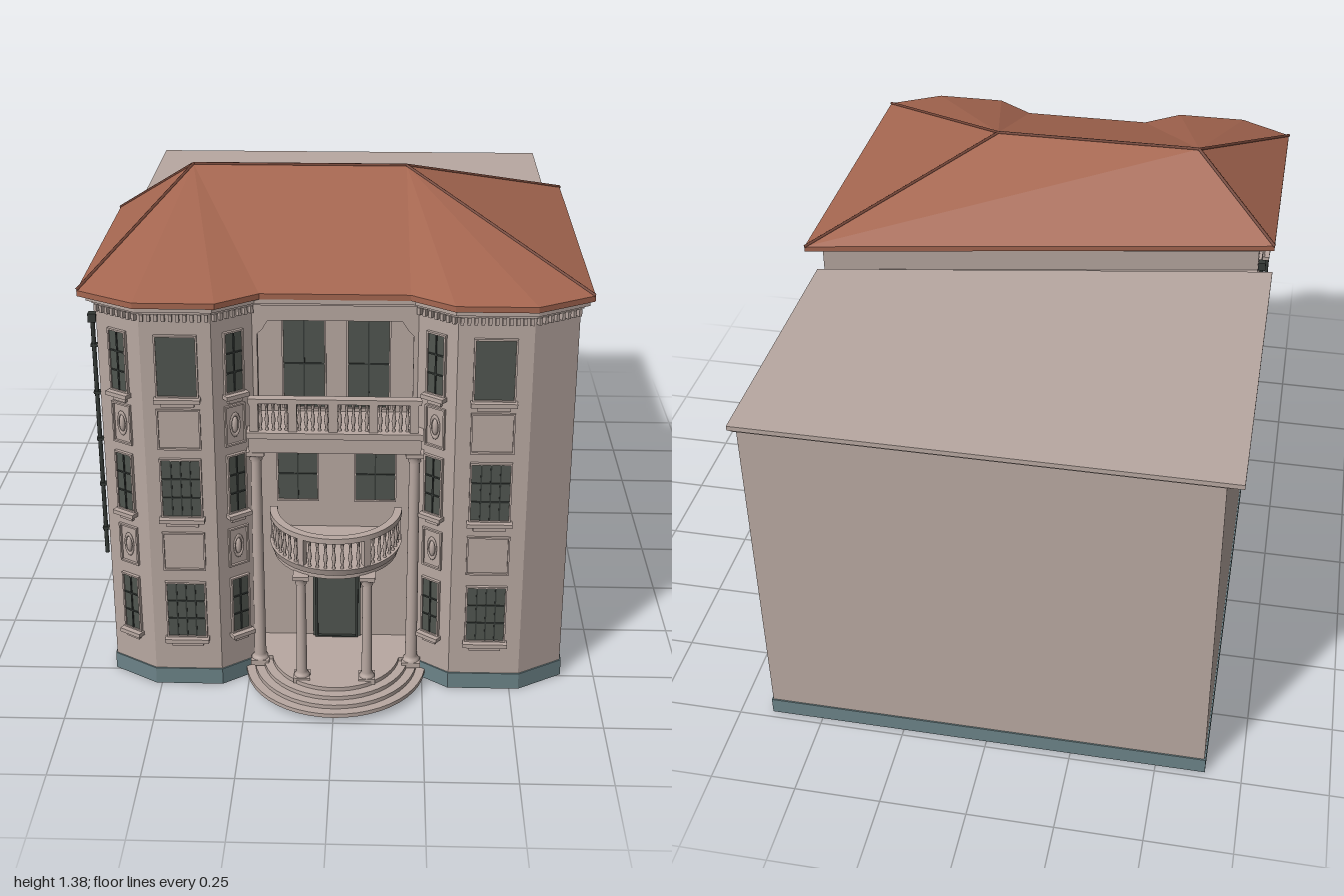
import * as THREE from 'three';

const mat = (name, color, side = THREE.FrontSide) => {
  const m = new THREE.MeshStandardMaterial({ color, side });
  m.name = name;
  return m;
};

export function createModel() {
  const stucco = mat('stucco', 0xb8a8a1);
  const tile = mat('roofTile', 0xa56650);
  const ridgeTile = mat('ridgeTile', 0x754638);
  const plinth = mat('plinthStone', 0x6c8388);
  const glass = mat('windowGlass', 0x50554f);
  const iron = mat('darkIron', 0x363b38);

  const root = new THREE.Group();
  root.name = 'mansion';
  const add = (parent, name, geo, material, x = 0, y = 0, z = 0) => {
    const m = new THREE.Mesh(geo, material);
    m.name = name;
    m.position.set(x, y, z);
    parent.add(m);
    return m;
  };
  const box = (parent, name, w, h, d, material, x, y, z) =>
    add(parent, name, new THREE.BoxGeometry(w, h, d), material, x, y, z);
  const group = (name, parent = root) => {
    const g = new THREE.Group();
    g.name = name;
    parent.add(g);
    return g;
  };
  // Vertical prism over a plan given as [x, z] corners
  const prism = (parent, name, plan, y0, y1, material) => {
    const shape = new THREE.Shape(plan.map(([x, z]) => new THREE.Vector2(x, -z)));
    const geo = new THREE.ExtrudeGeometry(shape, { depth: y1 - y0, bevelEnabled: false });
    return add(parent, name, geo.rotateX(-Math.PI / 2), material, 0, y0, 0);
  };
  // Moves every plan edge outwards by d
  const offset = (plan, d) => plan.map((p, i) => {
    const n = plan.length, a = plan[(i + n - 1) % n], b = plan[(i + 1) % n];
    const normal = (u, v) => {
      const l = Math.hypot(v[0] - u[0], v[1] - u[1]);
      return [-(v[1] - u[1]) / l, (v[0] - u[0]) / l];
    };
    const m = normal(a, p), k = normal(p, b);
    const s = d / (1 + m[0] * k[0] + m[1] * k[1]);
    return [p[0] + (m[0] + k[0]) * s, p[1] + (m[1] + k[1]) * s];
  });

  // Plans, front corners running left to right as seen from the front
  const leftBay = [[-0.64, 0.74], [-0.515, 0.815], [-0.325, 0.815], [-0.22, 0.74]];
  const rightBay = [[0.22, 0.74], [0.325, 0.815], [0.525, 0.815], [0.65, 0.74]];
  const recess = [[-0.22, 0.65], [0.22, 0.65]];
  const slant = [[0.65, -0.18], [-0.64, 0.05]];
  const rear = [[0.65, -0.975], [-0.64, -0.975]];
  const frontLine = [...leftBay, ...rightBay];

  // Main walls
  prism(root, 'frontBlock', [...leftBay, ...recess, ...rightBay, ...slant], 0.05, 1.165, stucco);
  prism(root, 'rearBlock', [...slant.slice().reverse(), ...rear], 0.05, 1.075, stucco);
  prism(root, 'plinth', offset([...frontLine, ...rear], 0.004), 0, 0.05, plinth);
  prism(root, 'rearRoof', [[-0.685, 0.03], [0.665, -0.2], [0.665, -1], [-0.685, -1]], 1.072, 1.086, stucco);
  prism(root, 'rearCornice', offset([[-0.64, 0.04], [0.65, -0.19], ...rear], 0.01), 1.058, 1.072, stucco);

  // Cornice under the eaves
  const upperPlan = [...frontLine, ...slant];
  prism(root, 'corniceLower', offset(upperPlan, 0.008), 1.145, 1.155, stucco);
  prism(root, 'corniceUpper', offset(upperPlan, 0.022), 1.155, 1.168, stucco);

  // Hipped roof with bay-shaped eaves
  const eaves = [[-0.685, 0.755], [-0.525, 0.845], [-0.31, 0.845], [-0.2, 0.765], [0.2, 0.765],
    [0.315, 0.845], [0.53, 0.845], [0.685, 0.755], [0.685, -0.24], [-0.685, 0.015]];
  prism(root, 'eavesBoard', eaves, 1.168, 1.184, tile);
  const corner = eaves.map(([x, z]) => [x, 1.184, z]);
  const ridgeL = [-0.43, 1.38, 0.215], ridgeR = [0.19, 1.38, 0.215];
  const apex = (i) => (i >= 4 && i <= 8 ? ridgeR : ridgeL);
  const tris = [];
  corner.forEach((c, i) => {
    const j = (i + 1) % corner.length;
    tris.push(...c, ...corner[j], ...apex(j));
    if (apex(i) !== apex(j)) tris.push(...c, ...apex(j), ...apex(i));
  });
  const roofGeo = new THREE.BufferGeometry();
  roofGeo.setAttribute('position', new THREE.Float32BufferAttribute(tris, 3));
  roofGeo.computeVertexNormals();
  add(root, 'hippedRoof', roofGeo, tile);
  [[ridgeL, ridgeR], [corner[0], ridgeL], [corner[9], ridgeL], [corner[7], ridgeR], [corner[8], ridgeR]]
    .forEach(([a, b]) => {
      const path = new THREE.LineCurve3(new THREE.Vector3(...a), new THREE.Vector3(...b));
      add(root, 'ridgeCap', new THREE.TubeGeometry(path, 1, 0.005, 6), ridgeTile);
    });

  // A group lying on the wall from p to q: local x runs along it, z points out
  const wall = (name, p, q) => {
    const g = group(name);
    g.position.set((p[0] + q[0]) / 2, 0, (p[1] + q[1]) / 2);
    g.rotation.y = Math.atan2(-(q[1] - p[1]), q[0] - p[0]);
    g.userData.length = Math.hypot(q[0] - p[0], q[1] - p[1]);
    return g;
  };
  const frame = (g, name, x, y, w, h, t, d, material) => {
    for (const s of [-1, 1]) {
      box(g, name, t, h + 2 * t, d, material, x + s * (w + t) / 2, y, d / 2);
      box(g, name, w, t, d, material, x, y + s * (h + t) / 2, d / 2);
    }
  };
  const windowAt = (g, x, y, w, h, cols, rows, sill = true) => {
    box(g, 'pane', w, h, 0.006, glass, x, y, 0.002);
    frame(g, 'windowFrame', x, y, w, h, 0.005, 0.009, stucco);
    for (let i = 1; i < cols; i++) box(g, 'mullion', 0.004, h, 0.004, iron, x - w / 2 + w * i / cols, y, 0.006);
    for (let i = 1; i < rows; i++) box(g, 'glazingBar', w, 0.004, 0.004, iron, x, y - h / 2 + h * i / rows, 0.006);
    if (!sill) return;
    box(g, 'sill', w + 0.02, 0.012, 0.024, stucco, x, y - h / 2 - 0.01, 0.012);
    box(g, 'sillApron', w * 0.85, 0.016, 0.01, stucco, x, y - h / 2 - 0.024, 0.005);
  };

  // Bay facades: three window rows with relief panels between them
  const bayFace = (name, p, q, w, wide) => {
    const g = wall(name, p, q);
    [0.248, 0.633, 0.995].forEach((y, i) => windowAt(g, 0, y, w, 0.17, wide && i < 2 ? 4 : wide ? 1 : 2, wide && i === 2 ? 1 : 3));
    for (const y of [0.435, 0.81]) {
      frame(g, 'reliefPanelFrame', 0, y, w + 0.004, 0.11, 0.005, 0.007, stucco);
      if (wide) continue;
      const boss = add(g, 'reliefBoss', new THREE.SphereGeometry(0.5, 10, 8), stucco, 0, y, 0.002);
      boss.scale.set(0.018, 0.05, 0.016);
      const ring = add(g, 'reliefRing', new THREE.TorusGeometry(0.014, 0.003, 6, 14), stucco, 0, y, 0.003);
      ring.scale.y = 2.2;
    }
    return g;
  };
  const faces = [
    bayFace('leftBayOuterFace', leftBay[0], leftBay[1], 0.05, false),
    bayFace('leftBayFrontFace', leftBay[1], leftBay[2], 0.105, true),
    bayFace('leftBayInnerFace', leftBay[2], leftBay[3], 0.05, false),
    bayFace('rightBayInnerFace', rightBay[0], rightBay[1], 0.05, false),
    bayFace('rightBayFrontFace', rightBay[1], rightBay[2], 0.105, true),
    wall('rightBayOuterFace', rightBay[2], rightBay[3]),
  ];
  // Dentils along the bays
  faces.forEach((g) => {
    const n = Math.floor(g.userData.length / 0.018);
    for (let i = 0; i < n; i++) {
      box(g, 'dentil', 0.009, 0.02, 0.012, stucco, ((i + 0.5) / n - 0.5) * g.userData.length, 1.135, 0.006);
    }
  });

  // Side wall windows and drainpipes
  const side = wall('sideWall', [-0.64, 0], [-0.64, 0.0001]);
  [[-0.44, 0.95], [-0.19, 0.965], [-0.19, 0.6]].forEach(([z, y]) => windowAt(side, z, y, 0.075, 0.11, 2, 2));
  [[0.14, 0.995], [0.14, 0.633], [0.49, 0.995], [0.49, 0.633]].forEach(([z, y]) => windowAt(side, z, y, 0.11, 0.18, 3, 3));
  [[0.04, 0.47], [0.73, 0.38]].forEach(([z, low]) => {
    const h = 1.1 - low;
    add(side, 'drainpipe', new THREE.CylinderGeometry(0.006, 0.006, h, 8), iron, z, low + h / 2, 0.012);
    box(side, 'rainHead', 0.022, 0.025, 0.022, iron, z, 1.1, 0.012);
    for (let y = low + 0.08; y < 1.05; y += 0.14) box(side, 'pipeBracket', 0.016, 0.008, 0.02, iron, z, y, 0.01);
  });

  // Recessed entrance wall
  const entry = wall('entranceWall', recess[0], recess[1]);
  for (const s of [-1, 1]) {
    windowAt(entry, s * 0.11, 0.6, 0.11, 0.16, 2, 2, false);
    windowAt(entry, s * 0.089, 0.94, 0.112, 0.26, 2, 2, false);
  }
  box(entry, 'doorSurround', 0.14, 0.285, 0.008, glass, 0, 0.208, 0.003);
  frame(entry, 'doorFrame', 0, 0.18, 0.11, 0.22, 0.008, 0.016, iron);
  box(entry, 'doorHead', 0.15, 0.012, 0.022, iron, 0, 0.345, 0.01);
  box(entry, 'doorTransom', 0.14, 0.01, 0.016, iron, 0, 0.315, 0.008);

  // Arch panel framing the upper loggia
  const panel = new THREE.Shape([[-0.225, 0.79], [-0.21, 0.79], [-0.21, 1.06], [-0.195, 1.075], [-0.18, 1.1],
    [0.18, 1.1], [0.195, 1.075], [0.21, 1.06], [0.21, 0.79], [0.225, 0.79], [0.225, 1.165], [-0.225, 1.165]]
    .map(([x, y]) => new THREE.Vector2(x, y)));
  add(root, 'loggiaArch', new THREE.ExtrudeGeometry(panel, { depth: 0.03, bevelEnabled: false }), stucco, 0, 0, 0.712);

  // Round entrance steps
  const steps = group('entranceSteps');
  [[0.26, 0.018, 0.03], [0.235, 0.03, 0.042], [0.21, 0.042, 0.054], [0.185, 0.054, 0.066]].forEach(([r, a, b]) =>
    add(steps, 'step', new THREE.CylinderGeometry(r, r, b - a, 48), stucco, 0, (a + b) / 2, 0.74));
  box(steps, 'porchFloor', 0.46, 0.02, 0.13, stucco, 0, 0.056, 0.705);

  // Columns
  const column = (name, x, z, y0, y1, r) => {
    const g = group(name);
    const h = y1 - y0;
    const prof = [[1.5, 0], [1.5, 0.012], [1.2, 0.018], [1, 0.026], [0.86, h - 0.035], [1.1, h - 0.03],
      [0.9, h - 0.022], [1.35, h - 0.01]].map(([k, y]) => new THREE.Vector2(k * r, y));
    add(g, 'shaft', new THREE.LatheGeometry(prof, 20), stucco, x, y0, z);
    box(g, 'columnBase', r * 3.1, 0.016, r * 3.1, stucco, x, y0 + 0.004, z);
    box(g, 'columnCapital', r * 2.9, 0.012, r * 2.9, stucco, x, y1 - 0.006, z);
  };
  for (const s of [-1, 1]) {
    column('tallColumn', s * 0.218, 0.765, 0.05, 0.73, 0.017);
    column('porchColumn', s * 0.092, 0.868, 0.06, 0.4, 0.015);
  }

  // Balusters shared by both balconies
  const balusterGeo = new THREE.LatheGeometry([[0.005, 0], [0.003, 0.01], [0.0065, 0.03], [0.003, 0.055], [0.0055, 0.08]]
    .map(([r, y]) => new THREE.Vector2(r, y)), 8);

  // Curved first-floor balcony
  const low = group('curvedBalcony');
  const cz = 0.715, rad = 0.175;
  add(low, 'balconySlab', new THREE.CylinderGeometry(0.187, 0.18, 0.02, 48), stucco, 0, 0.42, cz);
  add(low, 'balconyBeam', new THREE.CylinderGeometry(0.176, 0.176, 0.014, 48), stucco, 0, 0.404, cz);
  const railShape = new THREE.Shape().absarc(0, 0, rad + 0.011, 0, Math.PI, false);
  railShape.absarc(0, 0, rad - 0.011, Math.PI, 0, true);
  const railGeo = new THREE.ExtrudeGeometry(railShape, { depth: 0.016, bevelEnabled: false, curveSegments: 32 });
  add(low, 'curvedRail', railGeo.rotateX(Math.PI / 2), stucco, 0, 0.527, cz);
  for (let i = 0; i <= 24; i++) {
    const a = Math.PI * i / 24;
    const x = Math.cos(a) * rad, z = cz + Math.sin(a) * rad;
    if (i % 8 === 0) box(low, 'railPost', 0.018, 0.085, 0.018, stucco, x, 0.472, z).rotation.y = -a;
    else add(low, 'baluster', balusterGeo, stucco, x, 0.43, z);
  }

  // Straight second-floor balcony
  const high = group('straightBalcony');
  box(high, 'balconySlab', 0.47, 0.045, 0.14, stucco, 0, 0.752, 0.718);
  box(high, 'slabMoulding', 0.48, 0.018, 0.15, stucco, 0, 0.784, 0.722);
  box(high, 'handrail', 0.47, 0.014, 0.026, stucco, 0, 0.883, 0.776);
  const posts = [-0.22, -0.115, -0.005, 0.105, 0.215];
  posts.forEach((x, i) => {
    box(high, 'railPost', 0.024, 0.086, 0.022, stucco, x, 0.835, 0.776);
    for (let k = 1; k < 6 && i < 4; k++) {
      add(high, 'baluster', balusterGeo, stucco, x + (posts[i + 1] - x) * k / 6, 0.794, 0.776);
    }
  });

  return root;
}
